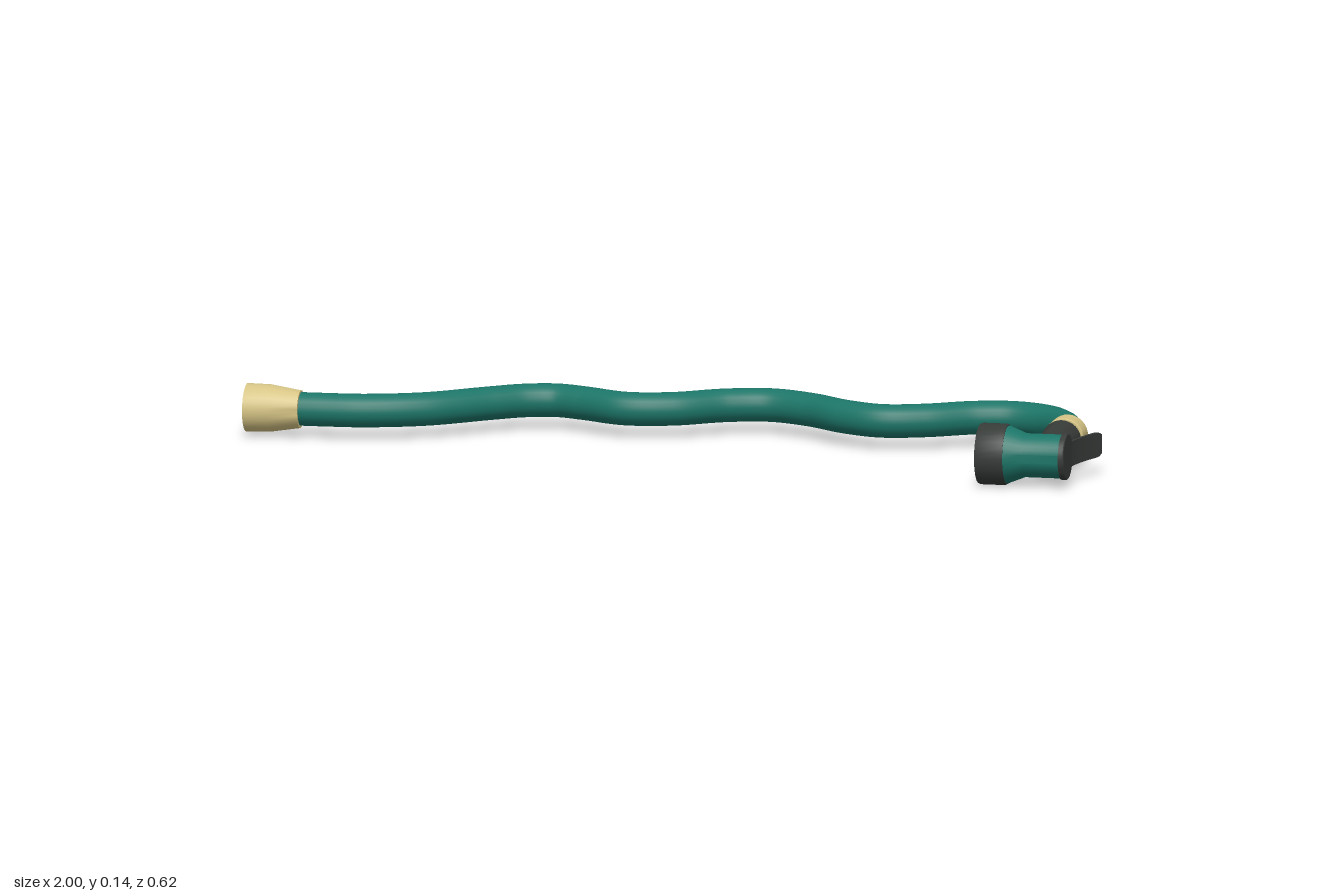
import * as THREE from 'three';
import { toCreasedNormals } from 'three/addons/utils/BufferGeometryUtils.js';

const material = (color) => new THREE.MeshStandardMaterial({ color });

export function createModel() {
  const group = new THREE.Group();
  const green = material(0x1c7568);
  const brass = material(0xd6c485);
  const dark = material(0x383c39);

  const add = (name, geometry, mat) => {
    const mesh = new THREE.Mesh(geometry, mat);
    mesh.name = name;
    group.add(mesh);
    return mesh;
  };

  // Turned part: profile of [radius, distance], axis along 'x' or 'z'
  const turned = (name, profile, axis, mat) => {
    const points = profile.map(([r, t]) => new THREE.Vector2(r, t));
    const geometry = new THREE.LatheGeometry(points, 32);
    if (axis === 'x') geometry.rotateZ(-Math.PI / 2);
    else geometry.rotateX(Math.PI / 2);
    return add(name, toCreasedNormals(geometry, 0.5), mat);
  };

  const hoseY = 0.066;
  const headY = 0.072;
  const headZ = 0.238;
  const gripX = 0.895;

  // Wavy hose lying flat
  const path = [
    [-0.9, -0.004], [-0.82, -0.006], [-0.73, -0.014], [-0.6, -0.062], [-0.47, -0.163],
    [-0.4, -0.212], [-0.33, -0.23], [-0.26, -0.208], [-0.155, -0.163], [-0.05, -0.182],
    [0.06, -0.25], [0.16, -0.274], [0.26, -0.237], [0.355, -0.17], [0.445, -0.137],
    [0.54, -0.162], [0.645, -0.22], [0.735, -0.236], [0.82, -0.202], [0.872, -0.135],
    [0.892, -0.06], [gripX, 0.02],
  ].map(([x, z]) => new THREE.Vector3(x, hoseY, z));
  add('hose', new THREE.TubeGeometry(new THREE.CatmullRomCurve3(path), 200, 0.0385, 20), green);

  // Hollow tap coupling at the far end
  turned('tapCoupling', [
    [0, -0.925], [0.043, -0.925], [0.046, -1], [0.055, -1], [0.054, -0.945],
    [0.043, -0.875], [0, -0.875],
  ].map(([r, t]) => [r, t]), 'x', brass).position.set(0, hoseY, 0);

  // Collar between hose and grip
  turned('collar', [
    [0, -0.066], [0.044, -0.066], [0.046, -0.063], [0.046, -0.015], [0.044, -0.012], [0, -0.012],
  ], 'z', brass).position.set(gripX, hoseY, 0);

  // Tapered grip, tilted slightly up to the head
  const grip = turned('grip', [
    [0, 0], [0.044, 0], [0.046, 0.003], [0.034, 0.135], [0.031, 0.2], [0, 0.2],
  ], 'z', dark);
  grip.position.set(gripX, hoseY, 0.007);
  grip.rotation.x = -0.03;

  // Spray head pointing to -x
  turned('headBody', [
    [0, 0.8], [0.066, 0.8], [0.066, 0.822], [0.05, 0.862], [0.05, 0.951], [0, 0.951],
  ], 'x', green).position.set(0, headY, headZ);
  turned('nozzleRim', [
    [0, 0.79], [0.056, 0.79], [0.06, 0.755], [0.068, 0.755], [0.07, 0.76],
    [0.07, 0.815], [0.068, 0.82], [0, 0.82],
  ], 'x', dark).position.set(0, headY, headZ);
  turned('headCap', [
    [0, 0.946], [0.053, 0.946], [0.053, 0.957], [0.051, 0.959], [0, 0.959],
  ], 'x', dark).position.set(0, headY, headZ);

  // Curved trigger lever with clipped corners, bent away from the grip
  const lever = new THREE.BoxGeometry(0.008, 0.057, 1, 1, 1, 16);
  const pos = lever.attributes.position;
  for (let i = 0; i < pos.count; i++) {
    const t = 0.5 - pos.getZ(i);
    const clip = t > 0.92 ? 1 - (t - 0.92) * 3 : 1;
    pos.setXYZ(i,
      pos.getX(i) + 0.954 + 0.042 * Math.pow(t, 1.5),
      pos.getY(i) * clip + headY - 0.001,
      0.21 - 0.15 * t);
  }
  add('triggerLever', toCreasedNormals(lever, 0.5), dark);

  return group;
}
